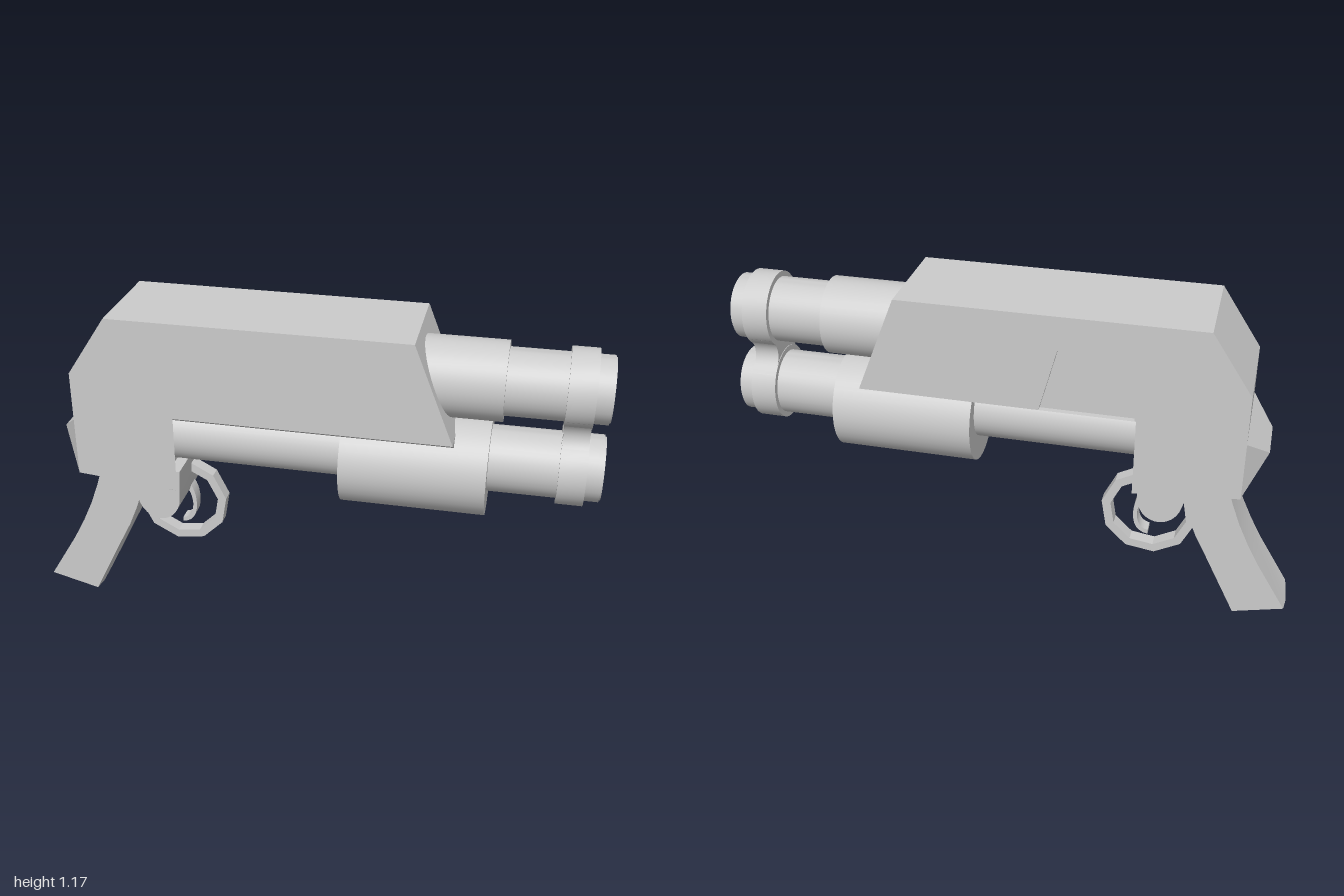
import * as THREE from 'three';
import { toCreasedNormals } from 'three/addons/utils/BufferGeometryUtils.js';

const material = new THREE.MeshStandardMaterial({ color: 0xcccccc });
const Z = 0.01; // mid-plane of barrels and grip

function add(parent, name, geometry) {
  const mesh = new THREE.Mesh(toCreasedNormals(geometry, 0.5), material);
  mesh.name = name;
  parent.add(mesh);
}

const shapeOf = (pts) => new THREE.Shape(pts.map(([x, y]) => new THREE.Vector2(x, y)));

// Side outline (x, y) extruded between two z values
function slab(shape, z0, z1, curveSegments = 12) {
  const g = new THREE.ExtrudeGeometry(shape, { depth: z1 - z0, bevelEnabled: false, curveSegments });
  return g.translate(0, 0, z0);
}

// Cross-section extruded along x; its horizontal axis is -z
function section(shape, x0, x1) {
  const g = new THREE.ExtrudeGeometry(shape, { depth: x1 - x0, bevelEnabled: false });
  return g.rotateY(Math.PI / 2).translate(x0, 0, 0);
}

// Round part along x from [radius, x] pairs
function turned(profile, y, z = Z) {
  const g = new THREE.LatheGeometry(profile.map(([r, x]) => new THREE.Vector2(r, x)), 40);
  return g.rotateZ(-Math.PI / 2).translate(0, y, z);
}

// Mesh from corner list and triangle indices
function solid(points, index) {
  const g = new THREE.BufferGeometry();
  g.setAttribute('position', new THREE.Float32BufferAttribute(points.flat(), 3));
  g.setIndex(index);
  g.computeVertexNormals();
  return g;
}

// Lower receiver block: plan outline with notched front corners, bottom tapering forward and inward
function lowerBlock() {
  const plan = shapeOf([[-0.8, -0.18], [-0.44, -0.185], [-0.485, -0.12], [-0.485, 0.13], [-0.44, 0.18], [-0.8, 0.18]]);
  const g = new THREE.ExtrudeGeometry(plan, { depth: 0.25, bevelEnabled: false });
  g.rotateX(Math.PI / 2).translate(0, 0.835, 0);
  const p = g.attributes.position;
  for (let i = 0; i < p.count; i++) {
    if (p.getY(i) > 0.7 || p.getX(i) < -0.7) continue;
    p.setY(i, Math.abs(p.getZ(i)) > 0.15 ? 0.555 : 0.525);
  }
  return g;
}

// Curved rectangular grip with a V-shaped butt
function gripGeometry() {
  const stations = [ // rear x, y, front x, y
    [-0.72, 0.66, -0.6, 0.6],
    [-0.75, 0.57, -0.605, 0.5],
    [-0.775, 0.49, -0.613, 0.46],
    [-0.805, 0.41, -0.628, 0.415],
    [-0.842, 0.33, -0.66, 0.338],
    [-0.885, 0.25, -0.7, 0.26],
    [-0.992, 0.075, -0.815, 0.03],
  ];
  const w = 0.085, points = [], index = [];
  stations.forEach(([rx, ry, fx, fy], i) => {
    const drop = i === stations.length - 1 ? 0.025 : 0;
    points.push([rx, ry, Z + w], [fx, fy, Z + w], [fx - drop / 3, fy - drop, Z],
      [fx, fy, Z - w], [rx, ry, Z - w], [rx - drop / 3, ry - drop, Z]);
    if (i === 0) return;
    const a = (i - 1) * 6, b = i * 6;
    for (let j = 0; j < 6; j++) {
      const k = (j + 1) % 6;
      index.push(b + j, b + k, a + k, b + j, a + k, a + j);
    }
  });
  const e = (stations.length - 1) * 6;
  for (const j of [0, 2, 1, 0, 5, 2, 5, 3, 2, 5, 4, 3]) index.push(e + j);
  return solid(points, index);
}

export function createModel() {
  const root = new THREE.Group();

  // Receiver: solid body plus a thin skin on the far side with the port cut out
  const receiver = new THREE.Group();
  receiver.name = 'receiver';
  root.add(receiver);
  const upper = [[0.51, 0.835], [0.372, 1.18], [-0.66, 1.18], [-0.8, 0.97], [-0.8, 0.835]];
  const port = [[-0.435, 0.835], [-0.41, 1.06], [-0.175, 1.06], [-0.115, 0.835]];
  add(receiver, 'receiverBody', slab(shapeOf(upper), -0.165, 0.18));
  add(receiver, 'portSkin', slab(shapeOf([...upper, ...port]), -0.185, -0.165));
  add(receiver, 'lowerReceiver', lowerBlock());

  // Chamfered underside above the lower barrel
  const chamfer = shapeOf([[-0.18, 0.835], [-0.13, 0.805], [0.13, 0.805], [0.185, 0.835]]);
  add(receiver, 'underside', section(chamfer, -0.46, 0.51));

  // Narrower trigger housing with rounded bottom
  const housing = new THREE.Shape();
  housing.moveTo(-0.445, 0.6);
  housing.lineTo(-0.79, 0.6);
  housing.lineTo(-0.79, 0.585);
  housing.lineTo(-0.7, 0.58);
  housing.quadraticCurveTo(-0.62, 0.56, -0.608, 0.48);
  housing.bezierCurveTo(-0.585, 0.375, -0.475, 0.375, -0.452, 0.47);
  add(receiver, 'triggerHousing', slab(housing, -0.11, 0.13));

  // Pointed rear cap: a wedge narrowing to a short ridge
  const corners = [0.18, -0.18].flatMap((z) => [[-0.8, 0.795, z], [-0.8, 0.59, z], [-0.875, 0.72, z * 0.47]]);
  add(receiver, 'rearCap', solid(corners, [0, 5, 2, 0, 3, 5, 1, 5, 4, 1, 2, 5, 0, 2, 1, 3, 4, 5]));

  add(root, 'grip', gripGeometry());

  // Barrels with stepped, open muzzles
  const muzzle = [[0.114, 0.995], [0.107, 0.995], [0.107, 1], [0.093, 1], [0.093, 0.95], [0, 0.95]];
  add(root, 'upperBarrel', turned([[0, 0.2], [0.135, 0.2], [0.135, 0.66], [0.114, 0.66], ...muzzle], 1.008));
  add(root, 'lowerBarrel', turned([[0, -0.5], [0.112, -0.5], [0.114, 0.6], ...muzzle], 0.72));

  // Sliding fore-end
  add(root, 'foreEnd', turned([[0, 0.13], [0.172, 0.13], [0.172, 0.625], [0, 0.625]], 0.688, 0.008));

  // Clamp: a ring on each barrel joined by a waisted web
  const clamp = new THREE.Group();
  clamp.name = 'barrelClamp';
  root.add(clamp);
  for (const y of [1.008, 0.72]) {
    add(clamp, 'clampRing', turned([[0.1, 0.855], [0.133, 0.855], [0.133, 0.945], [0.1, 0.945]], y));
  }
  const web = new THREE.Shape();
  web.moveTo(-0.11, 0.932);
  web.quadraticCurveTo(-0.025, 0.865, -0.11, 0.796);
  web.lineTo(-0.05, 0.828);
  web.lineTo(0.05, 0.828);
  web.lineTo(0.11, 0.796);
  web.quadraticCurveTo(0.025, 0.865, 0.11, 0.932);
  web.lineTo(0.05, 0.9);
  web.lineTo(-0.05, 0.9);
  add(clamp, 'clampWeb', section(web, 0.857, 0.943).translate(0, 0, Z));

  // Faceted trigger guard
  const turn = 0.14;
  const guard = new THREE.Shape().absarc(-0.487, 0.4, 0.168, turn, turn + Math.PI * 2);
  guard.holes.push(new THREE.Path().absarc(-0.487, 0.4, 0.136, turn, turn - Math.PI * 2, true));
  add(root, 'triggerGuard', slab(guard, -0.06, -0.012, 5));

  // Hooked trigger
  const trigger = new THREE.Shape();
  trigger.moveTo(-0.48, 0.47);
  trigger.quadraticCurveTo(-0.45, 0.44, -0.448, 0.39);
  trigger.quadraticCurveTo(-0.45, 0.33, -0.49, 0.325);
  trigger.lineTo(-0.49, 0.308);
  trigger.quadraticCurveTo(-0.435, 0.315, -0.434, 0.39);
  trigger.quadraticCurveTo(-0.435, 0.45, -0.462, 0.48);
  add(root, 'trigger', slab(trigger, -0.06, -0.012, 6));

  return root;
}
